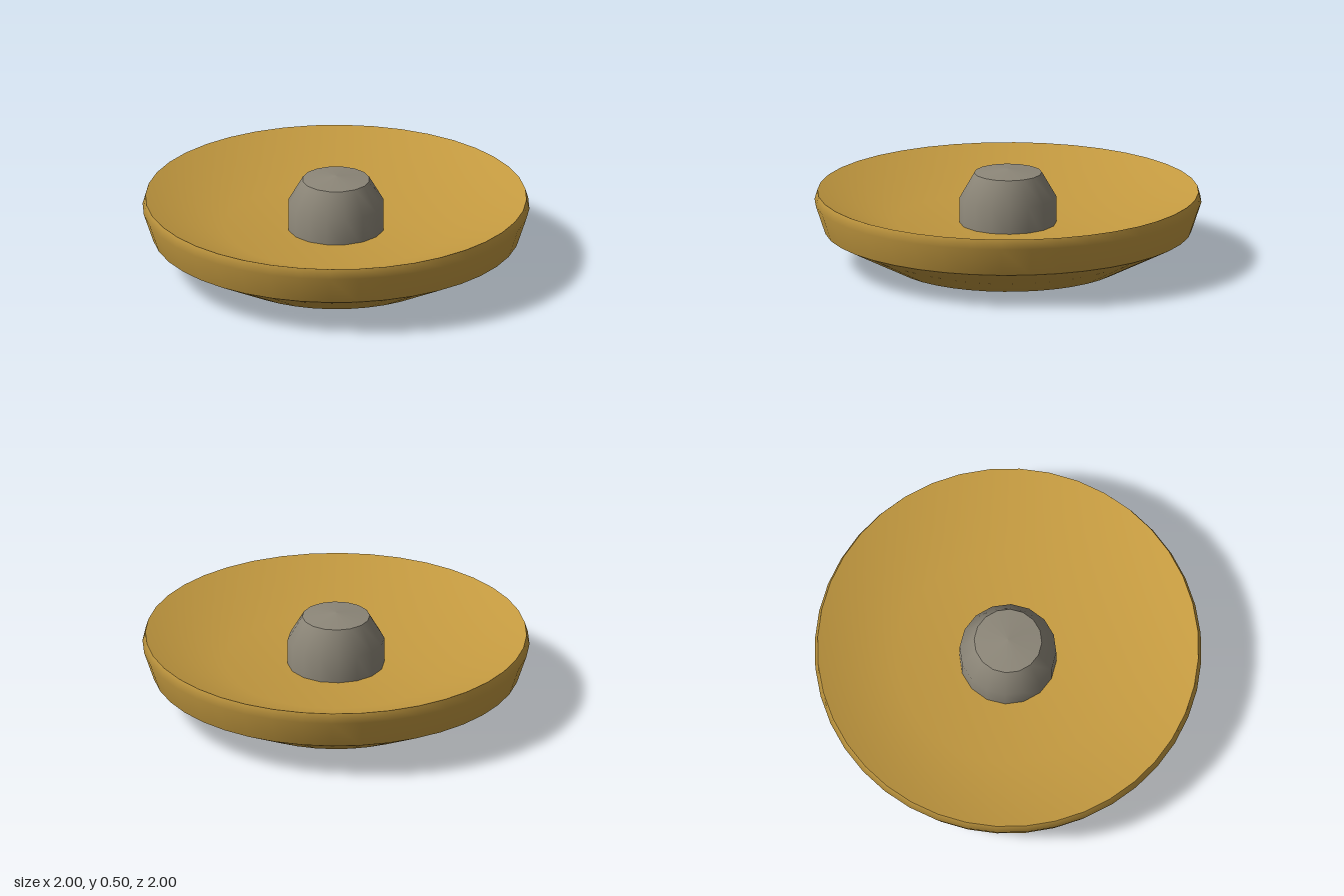
import * as THREE from 'three';

export function createModel() {
  const group = new THREE.Group();
  const gold = new THREE.MeshStandardMaterial({ color: 0xc49a40 });
  gold.name = 'gold';
  const stone = new THREE.MeshStandardMaterial({ color: 0x8c8678 });
  stone.name = 'stoneGrey';

  // Revolve a profile of [radius, height] pairs, listed up the outside and in over the top
  const turn = (name, profile, segments, material) => {
    const points = profile.map(([r, y]) => new THREE.Vector2(r, y));
    const mesh = new THREE.Mesh(new THREE.LatheGeometry(points, segments), material);
    mesh.name = name;
    group.add(mesh);
  };

  // Dish: separate bands keep the edges between them sharp
  turn('dishUnderside', [[0, 0], [0.6, 0], [0.95, 0.18]], 40, gold);
  turn('dishWall', [[0.95, 0.18], [1, 0.33], [0.985, 0.38]], 40, gold);
  turn('dishInside', [[0.985, 0.38], [0.58, 0.22], [0, 0.21]], 40, gold);

  // Central knob with a tapered shoulder and shallow pointed cap
  turn('knobSide', [[0.25, 0.18], [0.25, 0.35], [0.175, 0.48]], 16, stone);
  turn('knobCap', [[0.175, 0.48], [0, 0.5]], 16, stone);

  return group;
}
